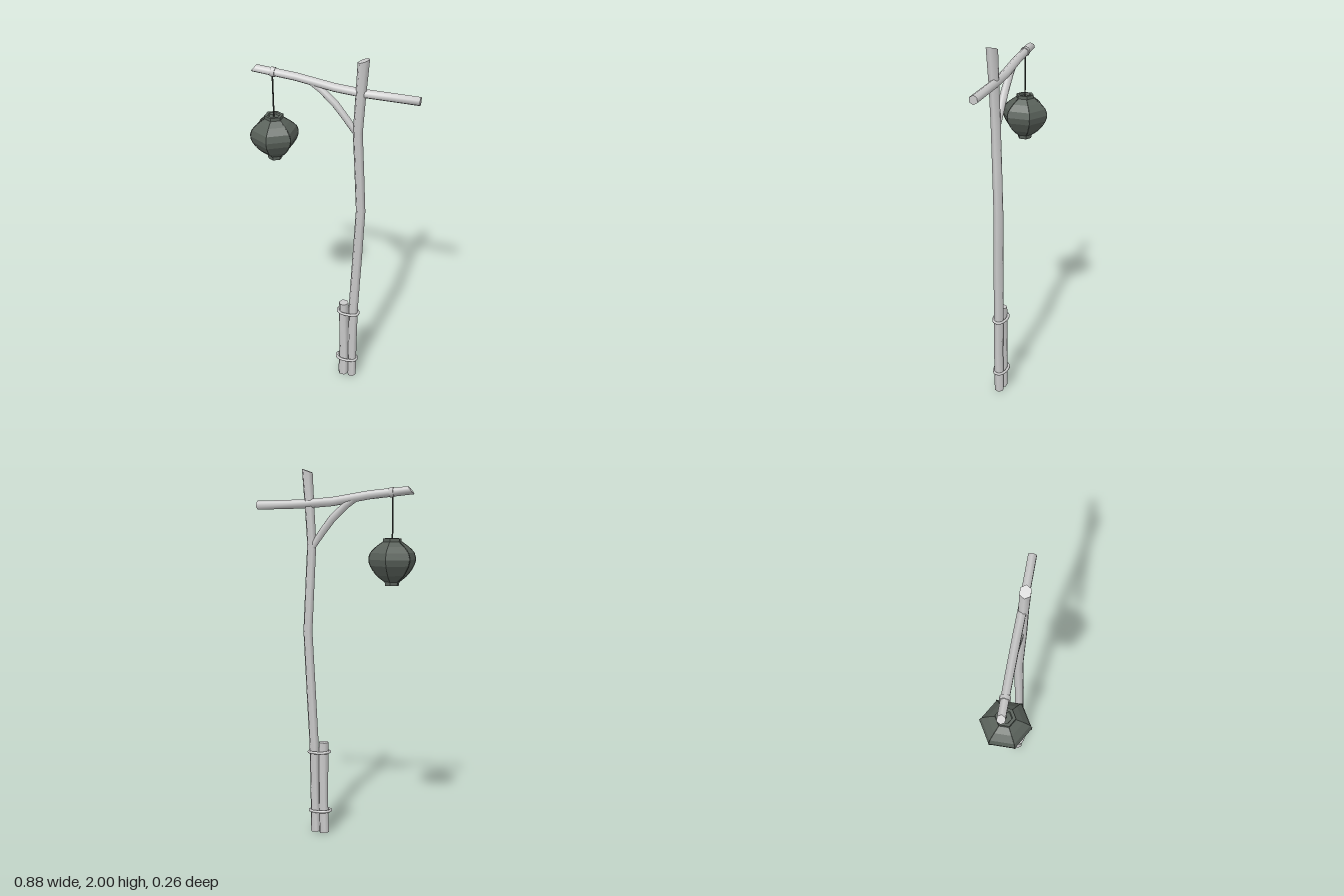
import * as THREE from 'three';

const wood = new THREE.MeshStandardMaterial({ color: 0xcccccc });
const dark = new THREE.MeshStandardMaterial({ color: 0x59615a, flatShading: true, side: THREE.DoubleSide });
const cord = new THREE.MeshStandardMaterial({ color: 0x3a3f3a });

// Hexagonal branch through [x, y, z, radius] points; slants cut its ends obliquely
function branch(name, points, startSlant = 0, endSlant = 0, sides = 6) {
  const centres = points.map(p => new THREE.Vector3(p[0], p[1], p[2]));
  const last = points.length - 1;
  const pos = [], index = [];
  const rings = centres.map((c, i) => {
    const t = centres[Math.min(i + 1, last)].clone().sub(centres[Math.max(i - 1, 0)]).normalize();
    const u = t.clone().cross(new THREE.Vector3(0, 0, 1)).normalize();
    const v = t.clone().cross(u);
    const r = points[i][3];
    const slant = i === 0 ? startSlant : i === last ? endSlant : 0;
    return Array.from({ length: sides }, (_, j) => {
      const a = j / sides * Math.PI * 2;
      return c.clone().addScaledVector(u, r * Math.cos(a)).addScaledVector(v, r * Math.sin(a))
        .addScaledVector(t, slant * r * Math.cos(a));
    });
  });
  const add = p => pos.push(p.x, p.y, p.z) / 3 - 1;
  rings.forEach(ring => ring.forEach(add));
  for (let i = 0; i < last; i++) {
    for (let j = 0; j < sides; j++) {
      const a = i * sides + j, b = i * sides + (j + 1) % sides;
      index.push(a, b, a + sides, b, b + sides, a + sides);
    }
  }
  // End caps with their own corners, so the rims stay sharp
  [0, last].forEach(i => {
    const hub = add(centres[i]);
    const rim = rings[i].map(add);
    rim.forEach((a, j) => {
      const b = rim[(j + 1) % sides];
      if (i === 0) index.push(hub, b, a); else index.push(hub, a, b);
    });
  });
  const geo = new THREE.BufferGeometry();
  geo.setAttribute('position', new THREE.Float32BufferAttribute(pos, 3));
  geo.setIndex(index);
  geo.computeVertexNormals();
  const mesh = new THREE.Mesh(geo, wood);
  mesh.name = name;
  return mesh;
}

// Rope loop round the stake and post
function rope(name, cx, y, tilt) {
  const outline = [[-0.057, 0.012], [-0.03, 0.032], [0.028, 0.03], [0.056, 0.014],
    [0.056, -0.014], [0.028, -0.032], [-0.03, -0.036], [-0.057, -0.014]];
  const path = new THREE.CatmullRomCurve3(
    outline.map(([x, z]) => new THREE.Vector3(cx + x, y + x * tilt, z - 0.002)), true);
  const mesh = new THREE.Mesh(new THREE.TubeGeometry(path, 24, 0.008, 6, true), wood);
  mesh.name = name;
  return mesh;
}

function lathe(name, profile) {
  const mesh = new THREE.Mesh(
    new THREE.LatheGeometry(profile.map(([r, y]) => new THREE.Vector2(r, y)), 6), dark);
  mesh.name = name;
  return mesh;
}

export function createModel() {
  const model = new THREE.Group();
  model.name = 'lanternPost';

  // Crooked upright, crossbeam, brace and short support stake
  model.add(
    branch('post', [[0.104, 0, -0.002, 0.026], [0.107, 0.25, 0, 0.026], [0.11, 0.5, -0.003, 0.027],
      [0.126, 0.82, -0.007, 0.027], [0.14, 1.13, -0.013, 0.026], [0.132, 1.36, -0.004, 0.026],
      [0.123, 1.6, 0.006, 0.026], [0.136, 1.8, 0.009, 0.027], [0.15, 1.987, 0.014, 0.03]], 0, 0.45),
    branch('crossbeam', [[-0.425, 1.88, 0, 0.022], [-0.2, 1.858, 0, 0.023], [0, 1.825, 0, 0.024],
      [0.15, 1.813, 0.002, 0.024], [0.435, 1.807, 0.003, 0.024]], -0.65, 0),
    branch('brace', [[-0.13, 1.845, 0, 0.018], [-0.07, 1.805, 0, 0.02], [0.005, 1.735, 0, 0.021],
      [0.06, 1.665, 0, 0.02], [0.118, 1.585, 0, 0.018]]),
    branch('stake', [[0.052, 0, -0.003, 0.029], [0.055, 0.2, -0.006, 0.027], [0.053, 0.515, -0.003, 0.028]]),
    rope('lowerRope', 0.074, 0.124, -0.05),
    rope('upperRope', 0.08, 0.459, -0.05));

  // Hanging cord and its wrap round the beam
  const string = new THREE.Mesh(new THREE.CylinderGeometry(0.004, 0.004, 0.25, 6), cord);
  string.name = 'hangingCord';
  string.position.set(-0.327, 1.735, 0);
  const wrap = new THREE.Mesh(new THREE.CylinderGeometry(0.026, 0.026, 0.022, 8), wood);
  wrap.name = 'cordWrap';
  wrap.rotation.z = Math.PI / 2 - 0.1;
  wrap.position.set(-0.322, 1.87, 0);
  model.add(string, wrap);

  // Six-sided lantern with a rim at each end
  const lantern = new THREE.Group();
  lantern.name = 'lantern';
  lantern.position.set(-0.327, 0, 0);
  lantern.add(
    lathe('shade', [[0.036, 1.405], [0.083, 1.442], [0.118, 1.492], [0.127, 1.525],
      [0.118, 1.56], [0.085, 1.592], [0.045, 1.62]]),
    lathe('topRim', [[0, 1.612], [0.05, 1.612], [0.05, 1.634], [0.034, 1.634], [0.03, 1.624], [0, 1.624]]),
    lathe('bottomRim', [[0, 1.388], [0.038, 1.388], [0.04, 1.41], [0, 1.41]]));

  // Thin ribs down the shade's corners
  for (let i = 0; i < 6; i++) {
    const a = i * Math.PI / 3;
    const path = new THREE.CatmullRomCurve3(
      [[0.036, 1.405], [0.083, 1.442], [0.118, 1.492], [0.127, 1.525], [0.118, 1.56], [0.085, 1.592], [0.045, 1.62]]
        .map(([r, y]) => new THREE.Vector3(Math.sin(a) * r, y, Math.cos(a) * r)));
    const rib = new THREE.Mesh(new THREE.TubeGeometry(path, 12, 0.0018, 4), dark);
    rib.name = 'rib';
    lantern.add(rib);
  }
  model.add(lantern);
  return model;
}
